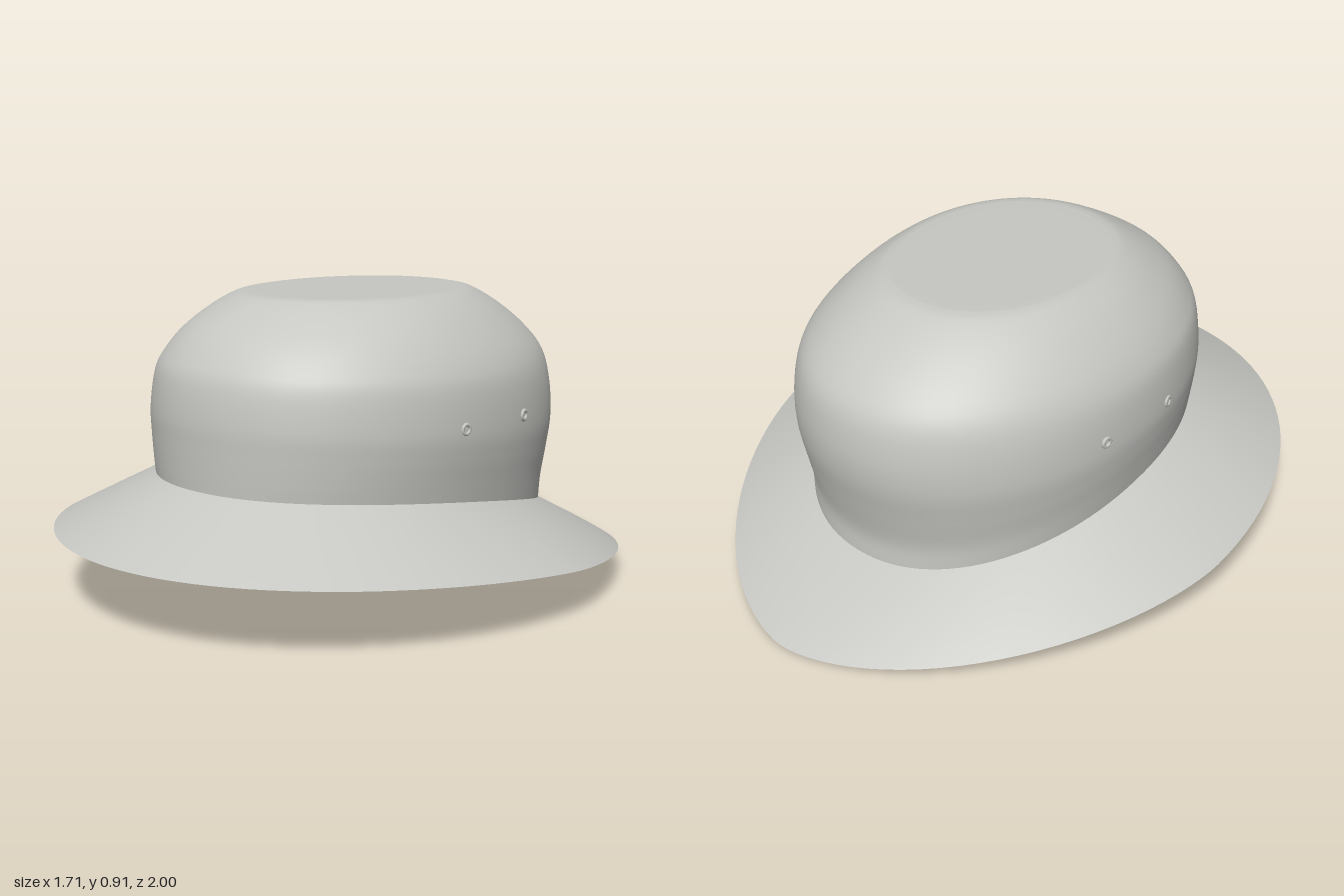
import * as THREE from 'three';

const felt = new THREE.MeshStandardMaterial({ color: 0xc6c6c2 });
felt.name = 'grey felt';

const SEGMENTS = 112;

// A level is [front radius, front y, side radius, side y, back radius, back y].
const crownLevels = [
  [0.675, 0.375, 0.535, 0.31, 0.67, 0.16],
  [0.676, 0.42, 0.545, 0.38, 0.668, 0.24],
  [0.677, 0.5, 0.555, 0.45, 0.69, 0.35],
  [0.676, 0.58, 0.56, 0.53, 0.715, 0.47],
  [0.66, 0.68, 0.547, 0.65, 0.718, 0.58],
  [0.63, 0.74, 0.52, 0.72, 0.695, 0.69],
  [0.565, 0.81, 0.47, 0.79, 0.63, 0.77],
  [0.47, 0.87, 0.4, 0.86, 0.53, 0.845],
  [0.4, 0.905, 0.335, 0.903, 0.43, 0.9],
  [0.36, 0.913, 0.3, 0.913, 0.38, 0.913],
];
const seam = crownLevels[0];
const brimEdge = [1, 0.22, 0.855, 0.155, 1, 0.002];

// Shift a level inwards and upwards
const offset = (level, inward, up) =>
  level.map((v, i) => (i % 2 ? v + up : Math.max(0, v - inward)));

const mix = (a, b, t) => a.map((v, i) => v + (b[i] - v) * t);

// Smooth the levels into more rings
function refine(levels, steps) {
  const curves = [0, 2, 4].map((k) => new THREE.CatmullRomCurve3(
    levels.map((l) => new THREE.Vector3(l[k], l[k + 1], 0)), false, 'catmullrom', 0.5));
  const count = (levels.length - 1) * steps;
  return Array.from({ length: count + 1 }, (_, i) =>
    curves.flatMap((c) => {
      const p = c.getPoint(i / count);
      return [p.x, p.y];
    }));
}

// Point on the oval of a level; the exponents shape the front and back halves
function ovalPoint(level, angle, frontPower, backPower) {
  const [fr, fy, sr, sy, br, by] = level;
  const s = Math.sin(angle), c = Math.cos(angle);
  const power = 2 / (c > 0 ? frontPower : backPower);
  const u = Math.sign(c) * Math.abs(c) ** power;
  const x = Math.sign(s) * Math.abs(s) ** power * sr;
  const y = sy + (u * (fy - by)) / 2 + u * u * ((fy + by) / 2 - sy);
  return [x, y, u * (c > 0 ? fr : br)];
}

// Skin a stack of ovals; rings listed bottom to top face outwards
function loft(name, levels, powers = () => [2.1, 2.1]) {
  const positions = [], index = [];
  levels.forEach((level, j) => {
    const [front, back] = powers(j / (levels.length - 1));
    for (let i = 0; i < SEGMENTS; i++) {
      positions.push(...ovalPoint(level, (i / SEGMENTS) * Math.PI * 2, front, back));
      if (j === levels.length - 1) continue;
      const a = j * SEGMENTS + i, b = j * SEGMENTS + ((i + 1) % SEGMENTS);
      index.push(a, b, b + SEGMENTS, a, b + SEGMENTS, a + SEGMENTS);
    }
  });
  const geometry = new THREE.BufferGeometry();
  geometry.setAttribute('position', new THREE.Float32BufferAttribute(positions, 3));
  geometry.setIndex(index);
  geometry.computeVertexNormals();
  const mesh = new THREE.Mesh(geometry, felt);
  mesh.name = name;
  return mesh;
}

// Rings running from one level to another
const span = (from, to, count) =>
  Array.from({ length: count + 1 }, (_, i) => mix(from, to, i / count));

export function createModel() {
  const hat = new THREE.Group();
  hat.name = 'hat';

  // Crown with its flat top
  const rim = crownLevels.at(-1);
  const cap = [0, 0.913, 0, 0.913, 0, 0.913];
  const crown = [...refine(crownLevels, 5), mix(rim, cap, 0.15), cap];
  hat.add(loft('crown', crown));

  // Lining follows the crown on the inside
  const lining = crown.map((level, j) => offset(level, 0.02, -0.015 * (j / crown.length)));
  hat.add(loft('lining', lining.reverse()));

  // Sweatband standing inside the opening, with a narrow top ledge
  const bandBottom = offset(seam, 0.025, -0.012);
  const bandTop = offset(mix(crownLevels[1], crownLevels[2], 0.8), 0.028, 0);
  hat.add(loft('sweatband', span(bandTop, bandBottom, 6)));
  hat.add(loft('sweatbandLedge', [offset(bandTop, -0.01, 0), bandTop]));

  // Sloping brim, slightly pointed at the back
  hat.add(loft('brimTop', span(brimEdge, seam, 12),
    (t) => [2 + 0.1 * t, 1.7 + 0.4 * t]));
  hat.add(loft('brimUnderside', span(bandBottom, offset(brimEdge, 0, -0.002), 12),
    (t) => [2.1 - 0.1 * t, 2.1 - 0.4 * t]));

  // Two tiny eyelets on each side
  for (const side of [-1, 1]) {
    for (const [z, x] of [[0.12, 0.551], [-0.17, 0.546]]) {
      const eyelet = new THREE.Mesh(new THREE.TorusGeometry(0.014, 0.006, 8, 16), felt);
      eyelet.name = 'eyelet';
      eyelet.position.set(side * x, 0.55, z);
      eyelet.rotation.y = side * (Math.PI / 2 - Math.sign(z) * 0.15);
      hat.add(eyelet);
    }
  }
  return hat;
}
